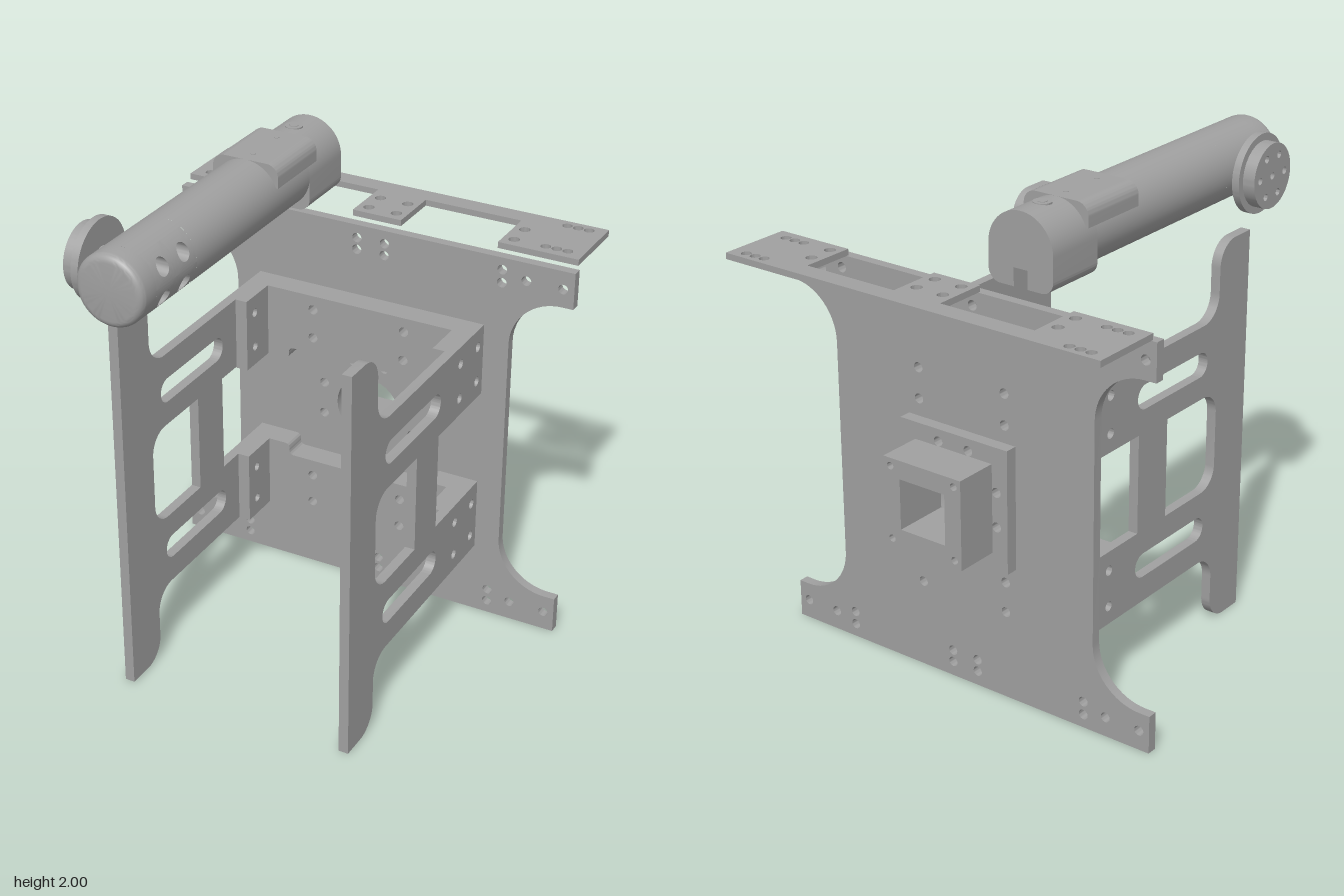
import * as THREE from 'three';
import { toCreasedNormals } from 'three/addons/utils/BufferGeometryUtils.js';

const metal = new THREE.MeshStandardMaterial({ color: 0xa0a0a0 });
metal.name = 'grey metal';

// Closed outline through [x, y, cornerRadius] points
function outline(points, Type = THREE.Shape) {
  const path = new Type();
  const n = points.length, k = 0.5523;
  points.forEach(([x, y, r = 0], i) => {
    const corner = new THREE.Vector2(x, y);
    const toward = (p, d) => {
      const v = new THREE.Vector2(p[0] - x, p[1] - y);
      return v.setLength(d).add(corner);
    };
    const prev = points[(i + n - 1) % n], next = points[(i + 1) % n];
    const a = r ? toward(prev, r) : corner;
    if (i === 0) path.moveTo(a.x, a.y); else path.lineTo(a.x, a.y);
    if (r) {
      const c1 = toward(prev, r * (1 - k)), c2 = toward(next, r * (1 - k)), b = toward(next, r);
      path.bezierCurveTo(c1.x, c1.y, c2.x, c2.y, b.x, b.y);
    }
  });
  path.closePath();
  return path;
}

const rect = (x0, y0, x1, y1, r = 0) => [[x0, y0, r], [x1, y0, r], [x1, y1, r], [x0, y1, r]];

function drill(shape, r, centres) {
  for (const [x, y] of centres) shape.holes.push(new THREE.Path().absarc(x, y, r, 0, Math.PI * 2, true));
  return shape;
}

const extrude = (shape, depth) =>
  new THREE.ExtrudeGeometry(shape, { depth, bevelEnabled: false, curveSegments: 16 });

function add(parent, name, geometry) {
  const mesh = new THREE.Mesh(toCreasedNormals(geometry, 0.5), metal);
  mesh.name = name;
  parent.add(mesh);
  return mesh;
}

const mirrorX = (pts) => pts.flatMap(([x, y]) => [[x, y], [-x, y]]);
const mirrorY = (pts, mid) => pts.flatMap(([x, y]) => [[x, y], [x, 2 * mid - y]]);
const MID = 0.81;

// Quarter of a cylinder wall around a hole drilled along x, with recess
function drilledCell(R, y0, y1, z0, z1, r, floorX) {
  const pos = [], idx = [], N = 32, rows = 7;
  const cy = (y0 + y1) / 2, cz = (z0 + z1) / 2;
  for (let j = 0; j <= rows + 1; j++) {
    for (let i = 0; i <= N; i++) {
      const t = (i / N) * Math.PI * 2, c = Math.cos(t), s = Math.sin(t);
      const m = Math.max(Math.abs(c), Math.abs(s)), f = Math.min(j / (rows - 1), 1);
      const edgeY = (s / m) * (y1 - y0) / 2, edgeZ = (c / m) * (z1 - z0) / 2;
      const q = j === rows + 1 ? 0 : 1;
      const y = cy + THREE.MathUtils.lerp(edgeY, s * r, f) * q;
      const z = cz + THREE.MathUtils.lerp(edgeZ, c * r, f) * q;
      pos.push(j < rows ? Math.sqrt(R * R - y * y) : floorX, y, z);
    }
  }
  for (let j = 0; j <= rows; j++) for (let i = 0; i < N; i++) {
    const a = j * (N + 1) + i, b = a + 1, c = a + N + 1, d = c + 1;
    idx.push(a, c, b, b, c, d);
  }
  const g = new THREE.BufferGeometry();
  g.setAttribute('position', new THREE.Float32BufferAttribute(pos, 3));
  g.setIndex(idx);
  g.computeVertexNormals();
  return g;
}

function buildBracket() {
  // C-shaped bracket around its own centre line, upper one as reference
  const bracket = new THREE.Group();
  const web = outline([[-0.455, 0.2], [-0.31, 0.2, 0.02], [-0.31, 0.25, 0.02], [0.31, 0.25, 0.02],
    [0.31, 0.2, 0.02], [0.455, 0.2], [0.455, 0.505], [-0.455, 0.505]]);
  drill(web, 0.02, mirrorX([[0.2, 0.445], [0.2, 0.32]]));
  add(bracket, 'bracketWeb', extrude(web, 0.1)).position.z = -0.5;
  for (const x of [-0.455, 0.405]) {
    const leg = drill(outline(rect(0.23, 0.2, 0.4, 0.505)), 0.018, [[0.295, 0.43], [0.295, 0.28]]);
    add(bracket, 'bracketLeg', extrude(leg, 0.05).rotateY(Math.PI / 2)).position.x = x;
  }
  bracket.position.y = MID;
  return bracket;
}

function buildTube() {
  const tube = new THREE.Group();
  tube.name = 'tube';
  const R = 0.14, half = Math.PI / 2;
  const lathe = (pts) => new THREE.LatheGeometry(pts.map(([r, z]) => new THREE.Vector2(r, z)), 64).rotateX(half);

  add(tube, 'tubeBody', lathe([[0, -0.345], [R, -0.345], [R, 0.485]]));
  const nose = [[R, 0.755]];
  for (let i = 0; i <= 6; i++) {
    const t = (i / 6) * half;
    nose.push([R - 0.03 + 0.03 * Math.cos(t), 0.815 + 0.03 * Math.sin(t)]);
  }
  add(tube, 'tubeNose', lathe([...nose, [0, 0.845]]));

  // Drilled stretch of the tube
  const a = Math.asin(0.12 / R);
  add(tube, 'tubeDrilledWall', new THREE.CylinderGeometry(R, R, 0.27, 48, 1, true, half + a, Math.PI * 2 - 2 * a)
    .rotateX(half)).position.z = 0.62;
  for (const y of [-0.12, 0]) for (const z of [0.485, 0.62]) {
    const g = drilledCell(R, y + 0.0, y + 0.12, z, z + 0.135, 0.033, 0.06);
    add(tube, 'tubeHole', g);
  }

  // Squared collar on top and slotted rear end
  const collar = outline([[-R, 0.05], [R, 0.05], [R, R, 0.05], [-R, R, 0.05]]);
  add(tube, 'tubeCollar', extrude(collar, 0.3)).position.z = -0.4;
  const rear = new THREE.Shape();
  rear.moveTo(R, 0);
  rear.absarc(0, 0, R, 0, Math.PI, false);
  rear.lineTo(-R, -0.09);
  rear.absarc(-0.09, -0.09, 0.05, Math.PI, Math.PI * 1.5, false);
  rear.lineTo(-0.03, -R);
  rear.lineTo(-0.03, -0.07);
  rear.lineTo(0.03, -0.07);
  rear.lineTo(0.03, -R);
  rear.absarc(0.09, -0.09, 0.05, Math.PI * 1.5, Math.PI * 2, false);
  add(tube, 'tubeRear', extrude(rear, 0.255)).position.z = -0.6;

  // Screw heads along the top
  for (const [z, r] of [[-0.475, 0.035], [-0.475, 0.018], [-0.34, 0.01], [-0.16, 0.01]]) {
    add(tube, 'topScrew', new THREE.CylinderGeometry(r, r, 0.012, 24))
      .position.set(0, r === 0.018 ? 0.138 : 0.136, z);
  }

  // Round flange on a short neck
  const neck = new THREE.CylinderGeometry(0.05, 0.05, 0.07, 32).rotateZ(half);
  add(tube, 'flangeNeck', neck).position.set(-0.145, -0.005, 0.62);
  const disc = (name, r, x, w, holes) => {
    const s = drill(new THREE.Shape().absarc(0, 0, r, 0, Math.PI * 2), 0.014, holes);
    const g = new THREE.ExtrudeGeometry(s, { depth: w, bevelEnabled: false, curveSegments: 48 });
    add(tube, name, g.rotateY(half)).position.set(x, -0.005, 0.62);
  };
  disc('flange', 0.155, -0.2, 0.03, []);
  const ring = Array.from({ length: 6 }, (_, i) => [0.085 * Math.cos(i * Math.PI / 3), 0.085 * Math.sin(i * Math.PI / 3)]);
  disc('flangeDisc', 0.127, -0.25, 0.05, [...ring, [0, 0]]);
  tube.position.set(-0.325, 1.845, 0);
  return tube;
}

export function createModel() {
  const model = new THREE.Group();
  model.name = 'bracketAssembly';

  // Back plate with waisted sides
  const side = [[0.855, 0], [0.855, 0.155], [0.6, 0.155, 0.21], [0.6, 1.465, 0.21], [0.855, 1.465], [0.855, 1.615]];
  const back = outline([...side, ...side.map(([x, y, r]) => [-x, y, r]).reverse()]);
  const centreHoles = mirrorX([[0.2, 0.88], [0.2, 0.74], [0.07, 1.01], [0.07, 0.61]]);
  drill(back, 0.02, [...mirrorY(mirrorX([[0.81, 1.54], [0.66, 1.54], [0.56, 1.565], [0.56, 1.51],
    [0.06, 1.56], [0.06, 1.51], [0.2, 1.255], [0.2, 1.13]]), MID), ...centreHoles]);
  drill(back, 0.14, [[0, MID]]);
  add(model, 'backPlate', extrude(back, 0.04)).position.z = -0.54;

  // Square socket on the back
  const opening = () => outline(rect(-0.105, 0.71, 0.105, 0.915), THREE.Path);
  const base = drill(outline(rect(-0.25, 0.56, 0.25, 1.06)), 0.02, centreHoles);
  base.holes.push(opening());
  add(model, 'socketBase', extrude(base, 0.05)).position.z = -0.59;
  const socket = drill(outline(rect(-0.18, 0.63, 0.18, 0.99)), 0.015,
    mirrorY(mirrorX([[0.148, 0.958]]), MID));
  socket.holes.push(opening());
  add(model, 'socket', extrude(socket, 0.18)).position.z = -0.77;

  // Top plate with two cutouts
  const top = outline([[-0.845, 0.55], [-0.515, 0.55], [-0.515, 0.77], [-0.105, 0.77], [-0.105, 0.55], [0.105, 0.55],
    [0.105, 0.77], [0.515, 0.77], [0.515, 0.55], [0.845, 0.55], [0.845, 0.85], [-0.845, 0.85]]);
  drill(top, 0.02, mirrorX([0.78, 0.735, 0.69].flatMap((x) => [[x, 0.81], [x, 0.6]])));
  drill(top, 0.022, mirrorX([[0.56, 0.7], [0.56, 0.6], [0.06, 0.7], [0.06, 0.6]]));
  add(model, 'topPlate', extrude(top, 0.025).rotateX(-Math.PI / 2)).position.y = 1.625;

  // Side plates, drawn with -z to the right
  const plate = outline([[-0.605, 0], [-0.405, 0, 0.1], [-0.405, 0.305, 0.1], [0.5, 0.305], [0.5, 0.61],
    [0.115, 0.61], [0.115, 1.015], [0.5, 1.015], [0.5, 1.315], [-0.405, 1.315, 0.1],
    [-0.405, 1.615, 0.1], [-0.605, 1.615]]);
  plate.holes.push(outline([[-0.405, 0.61, 0.09], [-0.07, 0.61], [-0.07, 1.015], [-0.405, 1.015, 0.09]], THREE.Path));
  for (const y of [0.41, 1.11]) plate.holes.push(outline(rect(-0.335, y, 0.125, y + 0.1, 0.0499), THREE.Path));
  drill(plate, 0.02, mirrorY([[0.295, 1.24], [0.295, 1.09], [0.45, 1.24], [0.45, 1.09]], MID));
  for (const [name, x] of [['leftSidePlate', 0.455], ['rightSidePlate', -0.495]]) {
    add(model, name, extrude(plate, 0.04).rotateY(Math.PI / 2)).position.x = x;
  }

  // Upper bracket and its turned-over twin
  const upper = buildBracket(), lower = buildBracket();
  upper.name = 'upperBracket';
  lower.name = 'lowerBracket';
  lower.rotation.z = Math.PI;
  model.add(upper, lower, buildTube());
  return model;
}
